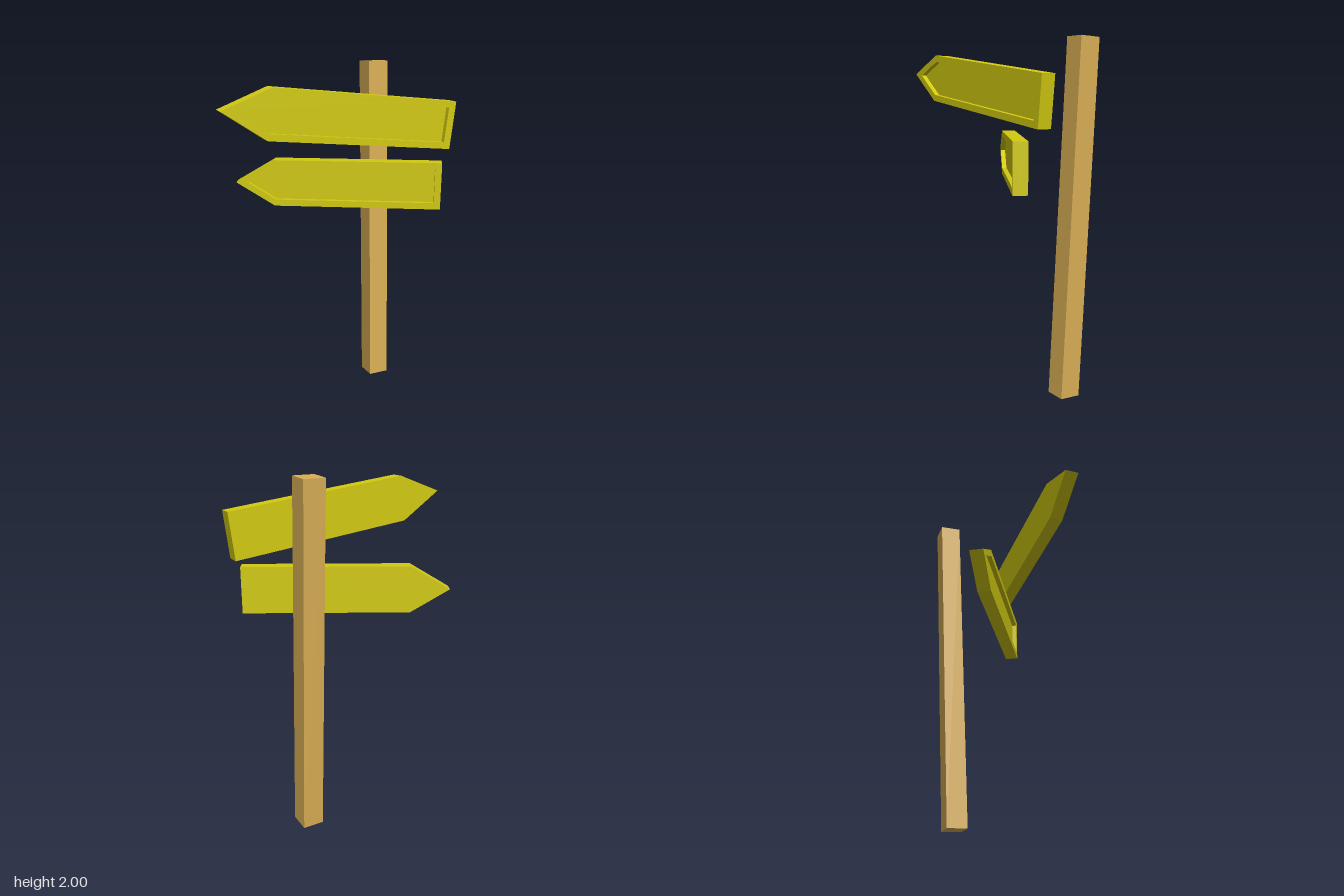
import * as THREE from 'three';

const wood = new THREE.MeshStandardMaterial({ color: 0xd9ae55, flatShading: true });
const paint = new THREE.MeshStandardMaterial({ color: 0xd2ca10, flatShading: true });

const THICK = 0.078, RECESS = 0.027;

// Arrow outline pointing to -x, from its square end to its tip
function arrow(Type, end, shoulder, tip, half) {
  const p = [[tip, 0], [shoulder, -half], [end, -half], [end, half], [shoulder, half]];
  return new Type(p.map(([x, y]) => new THREE.Vector2(x, y)));
}

function extrude(shape, depth, z) {
  const geo = new THREE.ExtrudeGeometry(shape, { depth, bevelEnabled: false });
  return geo.translate(0, 0, z);
}

// Sign with a raised rim around a sunken panel; origin at the middle of the front right edge
function createSign(name, lengthScale) {
  const sign = new THREE.Group();
  sign.name = name;
  const outline = () => arrow(THREE.Shape, 0, -1.092, -1.349, 0.1335);

  const board = new THREE.Mesh(extrude(outline(), THICK - RECESS, -THICK), paint);
  board.name = 'board';

  const rimShape = outline();
  rimShape.holes.push(arrow(THREE.Path, -0.042, -1.083, -1.268, 0.097));
  const rim = new THREE.Mesh(extrude(rimShape, RECESS, -RECESS), paint);
  rim.name = 'rim';

  sign.add(board, rim);
  sign.scale.x = lengthScale;
  return sign;
}

export function createModel() {
  const model = new THREE.Group();
  model.name = 'signpost';

  // Square post leaning backwards
  const post = new THREE.Mesh(new THREE.BoxGeometry(0.122, 1.996, 0.122), wood);
  post.name = 'post';
  post.position.set(0.394, 1, -0.185);
  post.rotation.x = -0.049;
  model.add(post);

  // Upper sign, tilted
  const upper = createSign('upperSign', 1);
  upper.position.set(0.66, 1.6625, 0.235);
  upper.rotation.z = -0.1135;
  model.add(upper);

  // Lower sign, shorter and turned aside
  const lower = createSign('lowerSign', 0.866);
  lower.position.set(0.549, 1.338, 0.317);
  lower.rotation.y = -0.511;
  model.add(lower);

  return model;
}
